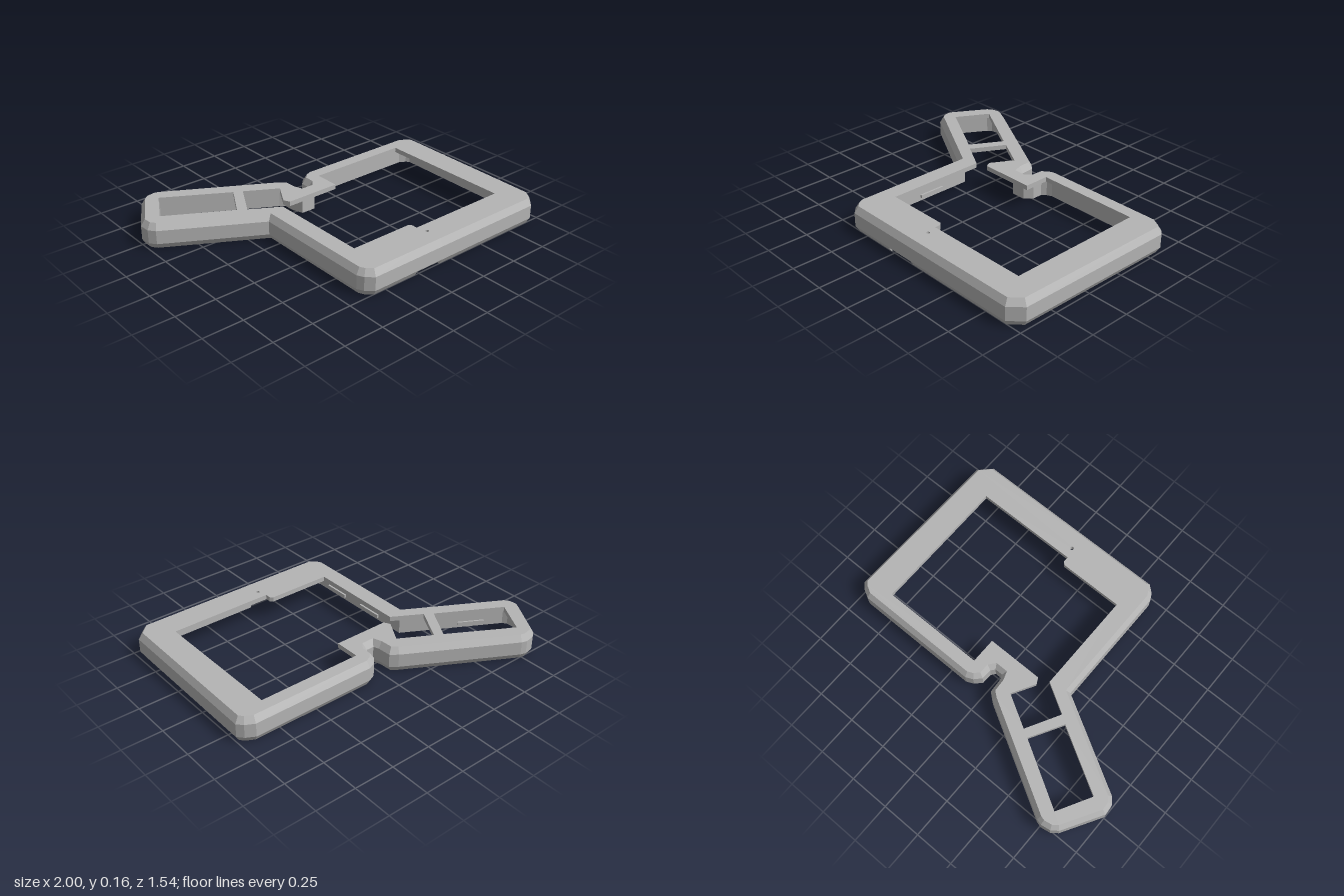
import * as THREE from 'three';

const HEIGHT = 0.16, PLATE = 0.03;

// Plan points are written as [x, z]; shapes use (x, -z).
const plan = (pts) => pts.map(([x, z]) => new THREE.Vector2(x, -z));

// Outer silhouette, counter-clockwise seen from above.
const outline = plan([
  [-1, -0.5], [-0.995, -0.435], [-0.965, -0.395], [-0.405, -0.075],
  [-0.405, 0.69], [-0.385, 0.73], [-0.34, 0.77],
  [-0.03, 0.77], [0.16, 0.77], // edges of the front cable slot
  [0.91, 0.77], [0.985, 0.695], [1, -0.33], [0.97, -0.365], [0.915, -0.395],
  [0.13, -0.395], [0.085, -0.375], [0.047, -0.335], [0.045, -0.27], [0.025, -0.245],
  [-0.025, -0.245], [-0.037, -0.28], [-0.042, -0.365], [-0.085, -0.4],
  [-0.725, -0.765], [-0.76, -0.775], [-0.82, -0.765], [-0.86, -0.735],
]);
const SLOT_SEGMENT = 7;

const mainOpening = plan([
  [-0.145, -0.31], [-0.225, -0.17], [-0.205, -0.132], [0.147, -0.132], [0.147, -0.293],
  [0.803, -0.293], [0.803, 0.575], [0.147, 0.575], [0.147, 0.54], [0.13, 0.523],
  [-0.275, 0.523], [-0.275, -0.11], [-0.455, -0.215], [-0.34, -0.422],
]);
const gripWindow = plan([[-0.775, -0.675], [-0.39, -0.45], [-0.505, -0.25], [-0.89, -0.47]]);

// Mitred inward offset of a closed counter-clockwise outline.
function inset(pts, d) {
  const n = pts.length;
  const normal = (a, b) => new THREE.Vector2(a.y - b.y, b.x - a.x).normalize();
  return pts.map((p, i) => {
    const n1 = normal(pts[(i + n - 1) % n], p);
    const n2 = normal(p, pts[(i + 1) % n]);
    const m = n1.clone().add(n2);
    return p.clone().addScaledVector(m, (2 * d) / m.lengthSq());
  });
}

// Hollow wall: a bevelled cross-section swept round the outline.
function wallGeometry() {
  const profile = [[0.02, 0], [0, 0.035], [0, 0.12], [0.025, HEIGHT], [0.036, HEIGHT - PLATE], [0.036, 0]];
  const slotProfile = profile.map(([d, y]) => [d, Math.max(y, 0.028)]);
  slotProfile[0][0] = 0.004;
  const rings = (prof) => prof.map(([d, y]) =>
    inset(outline, d).map((p) => new THREE.Vector3(p.x, y, -p.y)));
  const full = rings(profile), cut = rings(slotProfile);
  const pos = [];
  const quad = (a, b, c, d) => [a, b, c, a, c, d].forEach((v) => pos.push(v.x, v.y, v.z));
  const n = outline.length, m = profile.length;
  for (let i = 0; i < n; i++) {
    const r = i === SLOT_SEGMENT ? cut : full, j = (i + 1) % n;
    for (let k = 0; k < m; k++) {
      const q = (k + 1) % m;
      quad(r[k][i], r[k][j], r[q][j], r[q][i]);
    }
  }
  // Side faces of the slot
  const a = SLOT_SEGMENT, b = a + 1;
  quad(full[5][a], cut[5][a], cut[0][a], full[0][a]);
  quad(full[0][b], cut[0][b], cut[5][b], full[5][b]);
  const g = new THREE.BufferGeometry();
  g.setAttribute('position', new THREE.Float32BufferAttribute(pos, 3));
  g.computeVertexNormals();
  return g;
}

// Top plate with the screen opening, grip window and pinhole.
function plateGeometry() {
  const shape = new THREE.Shape(inset(outline, 0.025));
  shape.holes.push(new THREE.Path(mainOpening), new THREE.Path(gripWindow));
  shape.holes.push(new THREE.Path().absarc(0.165, -0.64, 0.011, 0, Math.PI * 2, true));
  const g = new THREE.ExtrudeGeometry(shape, { depth: PLATE, bevelEnabled: false, curveSegments: 12 });
  return g.rotateX(-Math.PI / 2).translate(0, HEIGHT - PLATE, 0);
}

export function createModel() {
  const group = new THREE.Group();
  const grey = new THREE.MeshStandardMaterial({ color: 0xb4b4b4, side: THREE.DoubleSide });
  grey.name = 'grey plastic';
  const add = (name, geometry) => {
    const mesh = new THREE.Mesh(geometry, grey);
    mesh.name = name;
    group.add(mesh);
    return mesh;
  };
  add('outerWall', wallGeometry());
  add('topPlate', plateGeometry());

  // Snap ridges on the inside of the walls: x, z, length, turn
  const ridges = [
    [0.78, 0.73, 0.17, 0], [-0.17, 0.73, 0.17, 0],
    [-0.365, 0.5, 0.17, Math.PI / 2], [-0.365, 0.18, 0.17, Math.PI / 2],
    [-0.76, -0.235 - 0.0, 0.17, -Math.PI / 6],
  ];
  ridges.forEach(([x, z, length, turn]) => {
    const ridge = add('snapRidge', new THREE.BoxGeometry(length, 0.02, 0.016));
    ridge.position.set(x, 0.03, z);
    ridge.rotation.y = turn;
  });
  // Seat the grip ridge against its slanted wall
  group.children[group.children.length - 1].position.z = -0.322;
  return group;
}
